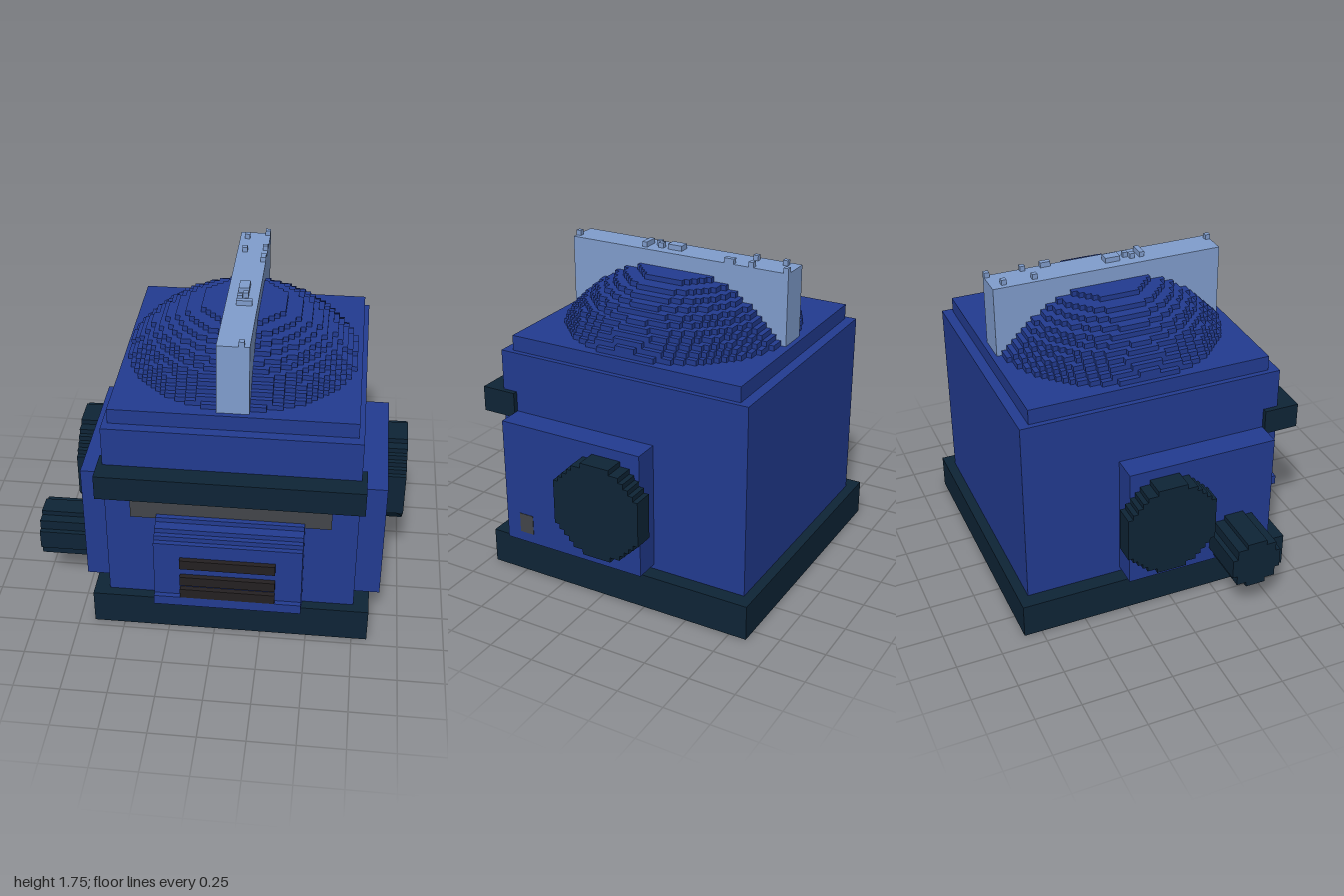
import * as THREE from 'three';

const V = 1 / 36; // size of one cube
const mat = (name, color) => {
  const m = new THREE.MeshStandardMaterial({ color });
  m.name = name;
  return m;
};

// Outline of a circle drawn in cubes, with rows of height 1
function steppedCircle(radius, rows) {
  const right = [];
  for (let i = 0; i < rows; i++) {
    const y = i - rows / 2, mid = y + 0.5;
    const w = Math.max(1, Math.round(Math.sqrt(Math.max(0, radius * radius - mid * mid))));
    const last = right[right.length - 1];
    if (last && last.x === w) last.y = y + 1;
    else right.push(new THREE.Vector2(w, y), new THREE.Vector2(w, y + 1));
  }
  const left = right.map((p) => new THREE.Vector2(-p.x, p.y)).reverse();
  return new THREE.Shape([...right, ...left]);
}

export function createModel() {
  const blue = mat('blue', 0x223b90);
  const navy = mat('dark navy', 0x0e2436);
  const grey = mat('grey', 0x424549);
  const black = mat('black', 0x242021);
  const pale = mat('pale blue', 0x809dcd);

  const model = new THREE.Group();
  const grid = new THREE.Group(); // parts are laid out in cube units
  grid.name = 'helmet';
  grid.scale.setScalar(V);
  grid.position.set(-1, 0, -30.5 * V);
  model.add(grid);

  const add = (name, geometry, material) => {
    const mesh = new THREE.Mesh(geometry, material);
    mesh.name = name;
    grid.add(mesh);
    return mesh;
  };
  const box = (name, material, x0, x1, y0, y1, z0, z1) =>
    add(name, new THREE.BoxGeometry(x1 - x0, y1 - y0, z1 - z0), material)
      .position.set((x0 + x1) / 2, (y0 + y1) / 2, (z0 + z1) / 2);
  const disc = (radius, rows, depth) =>
    new THREE.ExtrudeGeometry(steppedCircle(radius, rows), { depth, bevelEnabled: false });

  // Main blocks
  box('base', navy, 12, 66, 0, 7, 0, 56);
  box('head', blue, 15, 63, 7, 45, 2, 54);
  box('cap', blue, 16, 62, 45, 48, 4, 52);
  box('browBand', navy, 14, 64, 32, 37, 51, 58);
  box('visorStrip', grey, 20, 58, 26, 32, 54, 55);

  // Dome of stacked stepped discs
  for (let layer = 0; layer < 11; layer++) {
    const h = 48.5 + layer - 32;
    const r = Math.sqrt(27.8 * 27.8 - h * h);
    add('domeLayer', disc(r, 2 * Math.floor(r), 1).rotateX(-Math.PI / 2), blue)
      .position.set(39, 48 + layer, 28);
  }

  // Crest with small bumps: x, z, width, depth
  box('crest', pale, 36, 42, 48, 62, 5, 51);
  const bumps = [
    [37, 7, 1, 1], [37, 13, 1, 1], [41, 5, 1, 1], [41, 16, 1, 2], [41, 12, 1, 1],
    [38, 28, 2, 3], [39, 32, 1, 1], [38, 33, 1, 1], [38, 35, 3, 1], [40, 50, 1, 1],
  ];
  for (const [x, z, w, d] of bumps) box('crestBump', pale, x, x + w, 62, 63, z, z + d);

  // Mouth guard with a stepped side profile: bottom, top, front
  const steps = [
    [7, 8, 55], [8, 9, 57], [9, 10, 59], [10, 12, 61],
    [12, 24, 60], [24, 25, 59], [25, 26, 58], [26, 27, 56],
  ];
  for (const [y0, y1, z] of steps) box('mouthGuard', blue, 25, 53, y0, y1, 54, z);
  for (const y of [12, 15, 19]) box('mouthSlat', black, 30, 48, y, y + 2, 60, 61);

  // Side pads with round ears
  for (const [side, padX, earX] of [['right', 10, 6], ['left', 63, 68]]) {
    box(side + 'Pad', blue, padX, padX + 5, 8, 33, 21, 51);
    add(side + 'Ear', disc(9.4, 19, 4).rotateY(Math.PI / 2), navy).position.set(earX, 21.5, 28);
  }

  // Round filter on the right, small patch on the left
  add('filter', disc(5, 10, 10).rotateY(Math.PI / 2), navy).position.set(0, 13, 43);
  box('patch', grey, 67.95, 68.1, 10, 14, 45, 48);

  return model;
}
